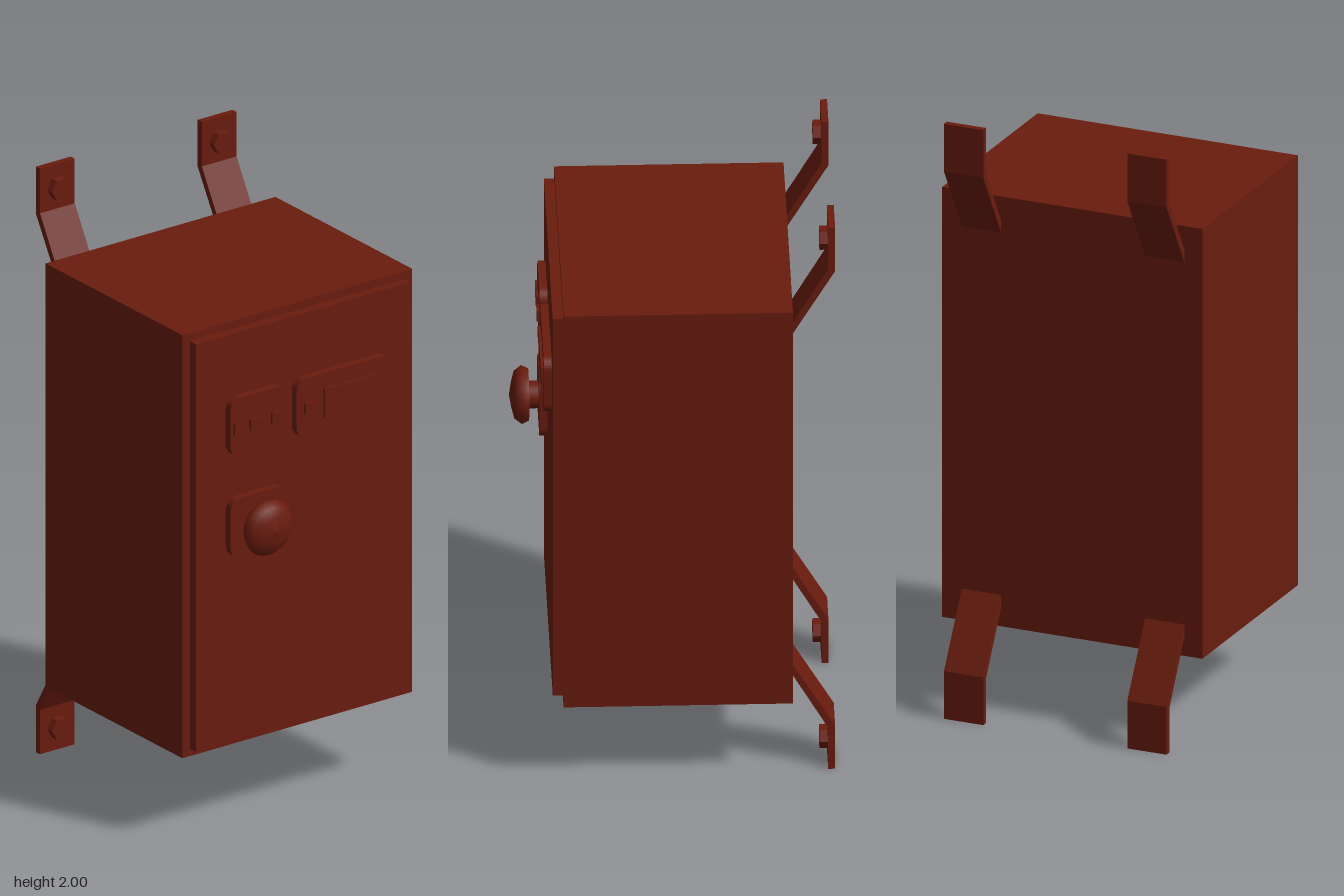
import * as THREE from 'three';

const material = new THREE.MeshStandardMaterial({ color: 0x6a1c0e });
const flat = new THREE.MeshStandardMaterial({ color: 0x6a1c0e, flatShading: true });

function add(parent, name, geometry, mat = material) {
  const mesh = new THREE.Mesh(geometry, mat);
  mesh.name = name;
  parent.add(mesh);
  return mesh;
}

// Box given by its limits on each axis
function block(parent, name, [x0, x1], [y0, y1], [z0, z1]) {
  add(parent, name, new THREE.BoxGeometry(x1 - x0, y1 - y0, z1 - z0))
    .position.set((x0 + x1) / 2, (y0 + y1) / 2, (z0 + z1) / 2);
}

// Rounded plate lying on the door, facing +x
function plate(parent, name, [y0, y1], [z0, z1]) {
  const r = 0.042, a = -z1, b = -z0;
  const s = new THREE.Shape();
  s.moveTo(a + r, y0);
  s.lineTo(b - r, y0);
  s.absarc(b - r, y0 + r, r, -Math.PI / 2, 0);
  s.lineTo(b, y1 - r);
  s.absarc(b - r, y1 - r, r, 0, Math.PI / 2);
  s.lineTo(a + r, y1);
  s.absarc(a + r, y1 - r, r, Math.PI / 2, Math.PI);
  s.lineTo(a, y0 + r);
  s.absarc(a + r, y0 + r, r, Math.PI, Math.PI * 1.5);
  const g = new THREE.ExtrudeGeometry(s, { depth: 0.027, bevelEnabled: false, curveSegments: 4 });
  add(parent, name, g.rotateY(Math.PI / 2)).position.x = 0.383;
}

// Bent mounting strap with a hex bolt, at the bottom or mirrored to the top
function bracket(parent, name, z, top) {
  const group = new THREE.Group();
  group.name = name;
  const Y = (y) => (top ? 2 - y : y);
  const points = [[-0.505, 0], [-0.483, 0], [-0.483, 0.152], [-0.365, 0.36], [-0.365, 0.4], [-0.505, 0.16]];
  const shape = new THREE.Shape(points.map(([x, y]) => new THREE.Vector2(x, Y(y))));
  const strap = new THREE.ExtrudeGeometry(shape, { depth: 0.136, bevelEnabled: false });
  add(group, 'strap', strap).position.z = z - 0.068;
  const bolt = new THREE.CylinderGeometry(0.038, 0.038, 0.027, 6).rotateZ(-Math.PI / 2);
  add(group, 'bolt', bolt, flat).position.set(-0.4705, Y(0.079), z + 0.002);
  parent.add(group);
}

export function createModel() {
  const model = new THREE.Group();
  model.name = 'controlCabinet';

  // Cabinet and door
  block(model, 'cabinet', [-0.37, 0.352], [0.286, 1.731], [-0.45, 0.45]);
  block(model, 'door', [0.35, 0.385], [0.312, 1.704], [-0.421, 0.421]);

  // Door plates
  plate(model, 'buttonPlate', [1.291, 1.492], [0.081, 0.305]);
  plate(model, 'displayPlate', [1.291, 1.492], [-0.33, 0.046]);
  plate(model, 'knobPlate', [0.946, 1.149], [0.081, 0.305]);

  // Buttons and display
  for (const z of [0.272, 0.211, 0.126, -0.003]) {
    block(model, 'button', [0.4, 0.418], [1.371, 1.41], [z - 0.02, z + 0.02]);
  }
  block(model, 'display', [0.4, 0.418], [1.343, 1.441], [-0.286, -0.06]);

  // Mushroom knob turned about the x axis
  const knob = new THREE.Group();
  knob.name = 'knob';
  knob.position.set(0.405, 1.047, 0.195);
  const stem = new THREE.CylinderGeometry(0.044, 0.044, 0.04, 24).rotateZ(-Math.PI / 2);
  add(knob, 'stem', stem).position.x = 0.02;
  const lathe = (pts) => new THREE.LatheGeometry(pts.map(([r, h]) => new THREE.Vector2(r, h)), 24)
    .rotateZ(-Math.PI / 2);
  add(knob, 'knobBase', lathe([[0, 0.036], [0.082, 0.036]]));
  add(knob, 'knobHead', lathe([[0.082, 0.036], [0.093, 0.058], [0.075, 0.082], [0.04, 0.091], [0, 0.098]]));
  model.add(knob);

  // Four mounting brackets
  for (const z of [0.32, -0.314]) {
    bracket(model, 'lowerBracket', z, false);
    bracket(model, 'upperBracket', z, true);
  }
  return model;
}
